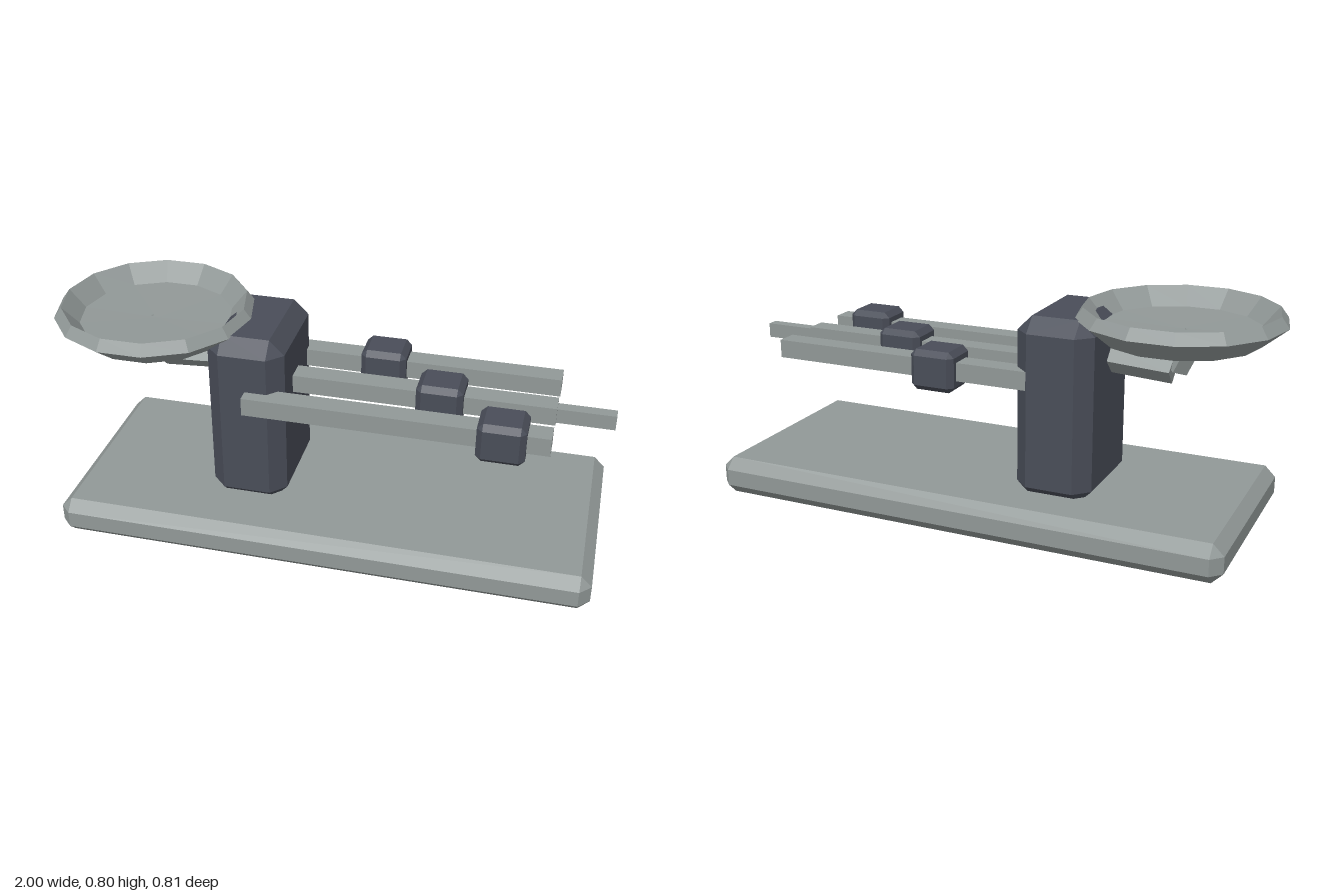
import * as THREE from 'three';
import { ConvexGeometry } from 'three/addons/geometries/ConvexGeometry.js';

export function createModel() {
  const model = new THREE.Group();
  model.name = 'balanceScale';

  const paleMetal = new THREE.MeshStandardMaterial({ color: 0x919897, flatShading: true });
  paleMetal.name = 'pale grey metal';
  const darkMetal = new THREE.MeshStandardMaterial({ color: 0x494d58, flatShading: true });
  darkMetal.name = 'dark slate metal';

  const add = (name, geometry, material, x = 0, y = 0, z = 0) => {
    const mesh = new THREE.Mesh(geometry, material);
    mesh.name = name;
    mesh.position.set(x, y, z);
    model.add(mesh);
    return mesh;
  };

  // Box with every edge chamfered by c
  const chamferBox = (w, h, d, c) => {
    const points = [];
    for (const sx of [-1, 1]) for (const sy of [-1, 1]) for (const sz of [-1, 1]) {
      for (let axis = 0; axis < 3; axis++) {
        const half = [w / 2, h / 2, d / 2].map((v, i) => (i === axis ? v : v - c));
        points.push(new THREE.Vector3(sx * half[0], sy * half[1], sz * half[2]));
      }
    }
    return new ConvexGeometry(points);
  };

  // Four-sided rod between two points in the plane z = const
  const rod = (name, x1, y1, x2, y2, z, radius) => {
    const dx = x2 - x1, dy = y2 - y1;
    const geometry = new THREE.CylinderGeometry(radius, radius, Math.hypot(dx, dy), 4);
    const mesh = add(name, geometry, paleMetal, (x1 + x2) / 2, (y1 + y2) / 2, z);
    mesh.rotation.z = Math.atan2(-dx, dy);
  };

  // Base plate and column
  add('base', chamferBox(1.91, 0.138, 0.808, 0.039), paleMetal, 0.035, 0.069, 0);
  add('column', chamferBox(0.277, 0.653, 0.427, 0.053), darkMetal, -0.267, 0.434, -0.023);

  // Hollow weighing dish with fourteen sides
  const profile = [
    [0, 0.687], [0.272, 0.687], [0.358, 0.757], [0.33, 0.795], [0.272, 0.73], [0, 0.722],
  ].map(([r, y]) => new THREE.Vector2(r, y));
  add('dish', new THREE.LatheGeometry(profile, 14, Math.PI / 2), paleMetal, -0.643, 0, 0);

  // Bent bracket carrying the dish
  rod('bracketArm', -0.625, 0.58, -0.35, 0.597, -0.01, 0.052);
  rod('bracketRiser', -0.635, 0.58, -0.695, 0.71, -0.01, 0.04);

  // Three beams, each with a sliding weight
  [['back', -0.195, 0.163], ['middle', 0.002, 0.4], ['front', 0.197, 0.638]].forEach(([side, z, x]) => {
    add(side + 'Beam', new THREE.BoxGeometry(1.06, 0.066, 0.078), paleMetal, 0.27, 0.542, z);
    add(side + 'Weight', chamferBox(0.165, 0.146, 0.152, 0.02), darkMetal, x, 0.541, z);
  });

  // Narrow pointer at the end of the middle beam
  add('pointer', new THREE.BoxGeometry(0.22, 0.054, 0.042), paleMetal, 0.89, 0.537, 0.002);

  return model;
}
